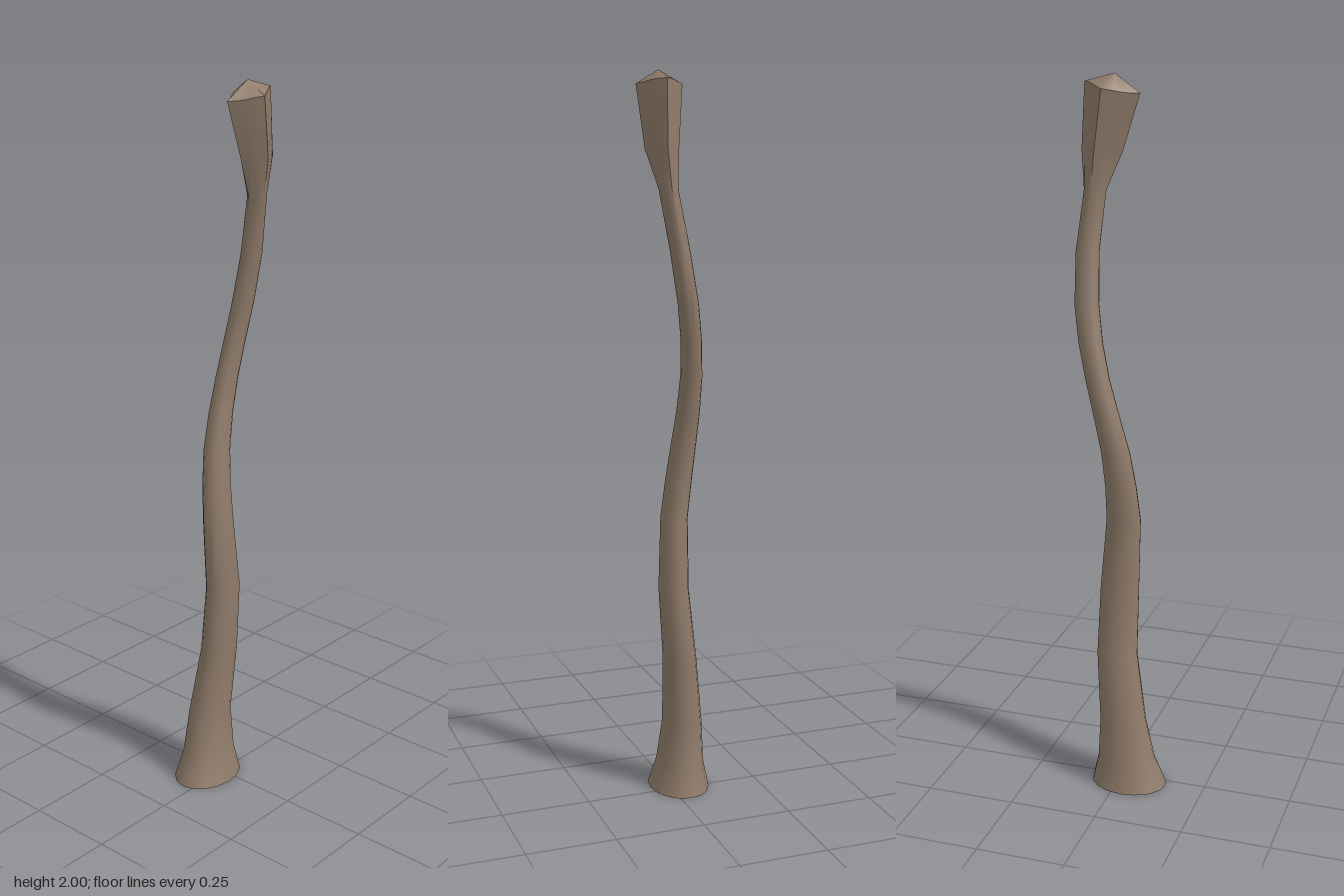
import * as THREE from 'three';
import { toCreasedNormals } from 'three/addons/utils/BufferGeometryUtils.js';

const SIDES = 16;

// Cross-sections: y, min x, max x, min z, max z, squareness (0 = round, 1 = diamond)
const SECTIONS = [
  [0, -0.14, 0.078, -0.113, 0.056, 0],
  [0.08, -0.107, 0.06, -0.095, 0.034, 0],
  [0.2, -0.081, 0.053, -0.088, 0.021, 0],
  [0.4, -0.05, 0.067, -0.063, 0.028, 0],
  [0.6, -0.05, 0.062, -0.041, 0.039, 0],
  [0.8, -0.056, 0.042, -0.043, 0.029, 0],
  [0.9, -0.046, 0.042, -0.053, 0.018, 0],
  [1.0, -0.03, 0.05, -0.061, 0.007, 0],
  [1.1, -0.003, 0.069, -0.064, -0.001, 0],
  [1.2, 0.025, 0.092, -0.061, -0.003, 0],
  [1.3, 0.047, 0.114, -0.051, 0.004, 0],
  [1.4, 0.062, 0.13, -0.036, 0.018, 0],
  [1.54, 0.069, 0.134, -0.01, 0.042, 0],
  [1.7, 0.057, 0.121, 0.018, 0.07, 0.3],
  [1.8, 0.015, 0.132, 0.012, 0.1, 0.75],
  [1.96, -0.034, 0.122, -0.007, 0.113, 1],
];

// A point on a section, blending an ellipse into a slightly turned diamond
function sectionPoint([y, x0, x1, z0, z1, k], j, isRim) {
  const a = (j % SIDES) / SIDES * Math.PI * 2;
  const c = Math.cos(a), s = Math.sin(a);
  const r = 1 - k + k / (Math.abs(c) + Math.abs(s));
  return [
    (x0 + x1) / 2 + (x1 - x0) / 2 * c * r - 0.011 * s * r * k,
    y + (isRim ? 0.013 * c + 0.004 : 0),
    (z0 + z1) / 2 + (z1 - z0) / 2 * s * r + 0.006 * c * r * k,
  ];
}

function toMesh(name, points, material) {
  const geometry = new THREE.BufferGeometry();
  geometry.setAttribute('position', new THREE.Float32BufferAttribute(points.flat(), 3));
  const mesh = new THREE.Mesh(toCreasedNormals(geometry, 0.75), material);
  mesh.name = name;
  return mesh;
}

export function createModel() {
  const bark = new THREE.MeshStandardMaterial({ color: 0x8f7b6a, side: THREE.DoubleSide });
  bark.name = 'bark brown';
  const last = SECTIONS.length - 1;
  const at = (i, j) => sectionPoint(SECTIONS[i], j, i === last);

  // Winding stem, open at the flared foot
  const stem = [];
  for (let i = 0; i < last; i++) {
    for (let j = 0; j < SIDES; j++) {
      const a = at(i, j), b = at(i + 1, j), c = at(i + 1, j + 1), d = at(i, j + 1);
      stem.push(a, b, d, b, c, d);
    }
  }

  // Low pointed cap closing the flared tip
  const cap = [];
  const apex = [0.037, 2, 0.053];
  for (let j = 0; j < SIDES; j++) cap.push(at(last, j), apex, at(last, j + 1));

  const group = new THREE.Group();
  group.name = 'trunk';
  group.add(toMesh('stem', stem, bark), toMesh('tipCap', cap, bark));
  return group;
}
